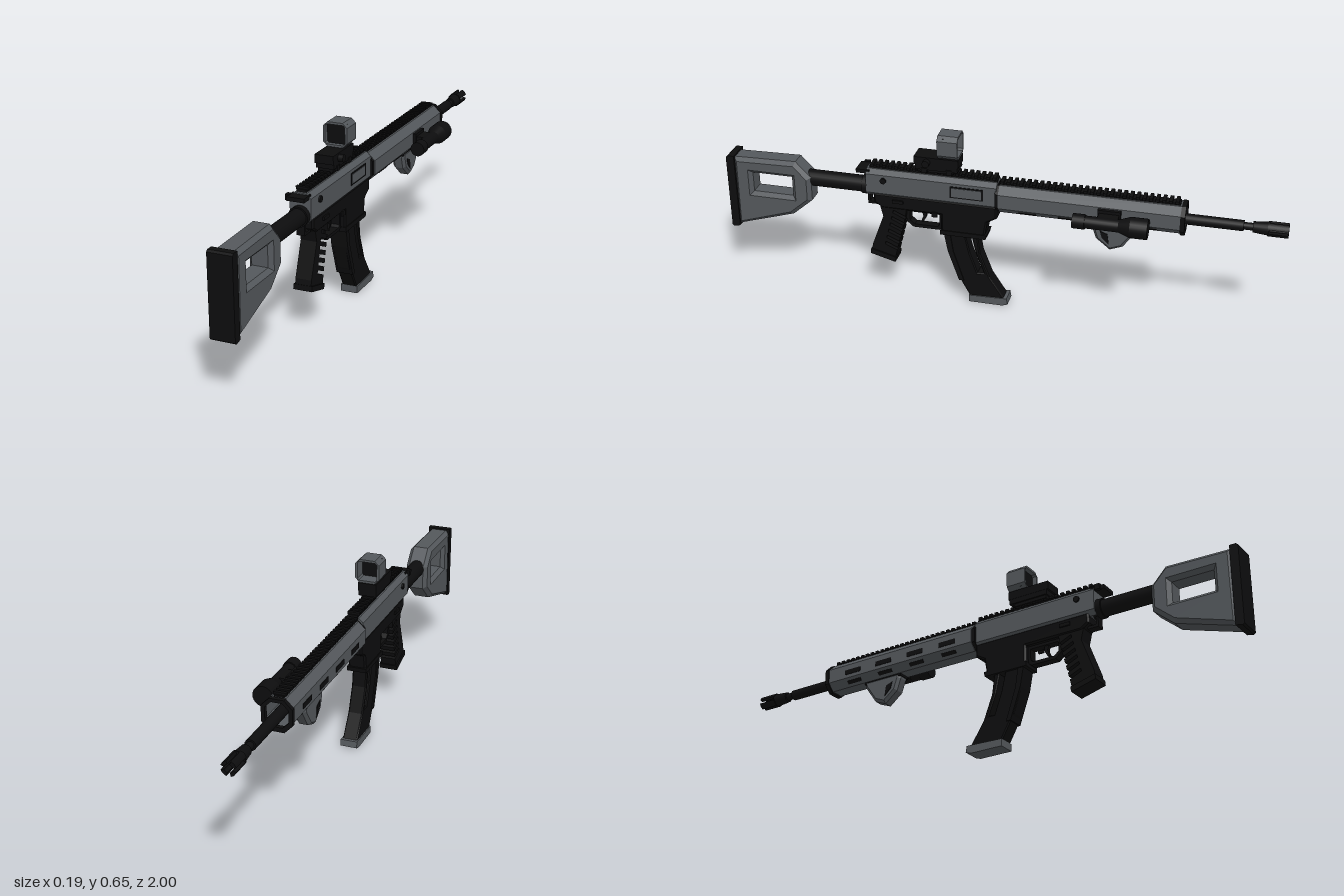
import * as THREE from 'three';

const grey = new THREE.MeshStandardMaterial({ color: 0x54585c });
grey.name = 'gunmetal grey';
const black = new THREE.MeshStandardMaterial({ color: 0x0d0d0e });
black.name = 'matte black';

const shapeOf = pts => new THREE.Shape(pts.map(p => new THREE.Vector2(p[0], p[1])));

// octagonal outline centred on (0, cy)
function octagon(hw, hh, c, cy = 0) {
  return [[hw, hh - c], [hw - c, hh], [c - hw, hh], [-hw, hh - c], [-hw, c - hh], [c - hw, -hh], [hw - c, -hh], [hw, c - hh]]
    .map(([x, y]) => [x, y + cy]);
}

export function createModel() {
  const model = new THREE.Group();
  const gun = new THREE.Group();
  gun.name = 'rifle';
  gun.position.x = -0.042;
  model.add(gun);

  function add(name, geometry, material, x = 0, y = 0, z = 0) {
    const m = new THREE.Mesh(geometry, material);
    m.name = name;
    m.position.set(x, y, z);
    gun.add(m);
    return m;
  }
  const box = (name, mat, w, h, d, x, y, z) => add(name, new THREE.BoxGeometry(w, h, d), mat, x, y, z);

  // side outline in (z, y), extruded to a width across x
  function side(name, mat, pts, width, bevel = 0, holes = []) {
    const s = shapeOf(pts);
    holes.forEach(h => s.holes.push(shapeOf(h)));
    const depth = width - 2 * bevel;
    const g = new THREE.ExtrudeGeometry(s, {
      depth, bevelEnabled: bevel > 0, bevelSize: bevel, bevelThickness: bevel, bevelOffset: -bevel, bevelSegments: 1,
    });
    g.translate(0, 0, -depth / 2).rotateY(-Math.PI / 2);
    return add(name, g, mat);
  }
  // cross-section in (x, y), extruded from z0 to z1
  function along(name, mat, pts, z0, z1, hole) {
    const s = shapeOf(pts);
    if (hole) s.holes.push(shapeOf(hole));
    return add(name, new THREE.ExtrudeGeometry(s, { depth: z1 - z0, bevelEnabled: false }), mat, 0, 0, z0);
  }
  // round part along z; r0 is the radius at z0
  function round(name, mat, r0, r1, z0, z1, x, y, n = 20) {
    const g = new THREE.CylinderGeometry(r1, r0, z1 - z0, n).rotateX(Math.PI / 2);
    return add(name, g, mat, x, y, (z0 + z1) / 2);
  }

  // shoulder stock with window, butt pad and tube
  side('stock', grey, [[0.975, 0.482], [0.74, 0.488], [0.685, 0.43], [0.685, 0.34], [0.76, 0.275], [0.975, 0.208]],
    0.084, 0.014, [[[0.907, 0.35], [0.757, 0.35], [0.757, 0.425], [0.907, 0.425]]]);
  side('buttPad', black, [[1, 0.205], [1, 0.482], [0.993, 0.488], [0.97, 0.488], [0.97, 0.205], [0.993, 0.2]], 0.086);
  round('bufferTube', black, 0.03, 0.03, 0.46, 0.7, 0, 0.418);
  round('tubeCollar', black, 0.035, 0.035, 0.46, 0.495, 0, 0.418);

  // upper receiver
  along('upperReceiver', grey, octagon(0.038, 0.052, 0.016, 0.442), 0.0, 0.475);
  box('ejectionPortFrame', black, 0.004, 0.044, 0.12, 0.038, 0.445, 0.107);
  box('ejectionPortCover', grey, 0.004, 0.034, 0.108, 0.04, 0.445, 0.107);
  [-1, 1].forEach(s => round('receiverPin', black, 0.011, 0.011, -0.004, 0.004, s * 0.04, 0.458).rotation.set(0, Math.PI / 2, 0));
  gun.children.slice(-2).forEach(p => { p.position.z = 0.41; });
  box('chargingHandle', black, 0.064, 0.014, 0.05, 0, 0.483, 0.487);
  box('chargingLatch', black, 0.014, 0.02, 0.02, -0.035, 0.483, 0.49);

  // lower receiver and magazine well
  side('lowerReceiver', black, [[0.45, 0.402], [0.0, 0.402], [0.0, 0.355], [0.035, 0.335], [0.045, 0.275],
    [0.203, 0.275], [0.203, 0.345], [0.42, 0.345], [0.45, 0.365]], 0.066, 0.006);
  box('slingLoop', black, 0.03, 0.01, 0.04, 0, 0.354, 0.455);
  box('slingLoopBack', black, 0.03, 0.05, 0.008, 0, 0.374, 0.473);
  side('magazineWellLip', black, [[0.206, 0.268], [0.04, 0.268], [0.036, 0.285], [0.206, 0.285]], 0.072);
  side('triggerGuard', black, [[0.2, 0.35], [0.2, 0.285], [0.215, 0.274], [0.31, 0.274], [0.335, 0.295], [0.335, 0.35]], 0.03, 0,
    [[[0.213, 0.335], [0.213, 0.295], [0.22, 0.286], [0.305, 0.286], [0.322, 0.3], [0.322, 0.335]]]);
  side('trigger', black, [[0.282, 0.345], [0.262, 0.345], [0.264, 0.315], [0.276, 0.294], [0.283, 0.298], [0.275, 0.318]], 0.014);
  [-1, 1].forEach(s => box('selectorLever', black, 0.008, 0.012, 0.04, s * 0.035, 0.378, 0.36));
  box('magazineRelease', black, 0.008, 0.018, 0.02, 0.035, 0.345, 0.225);

  // pistol grip with slits cut into its front edge
  const gripPts = [[0.43, 0.36], [0.33, 0.36]];
  const front = t => [0.327 + 0.055 * t, 0.35 - 0.22 * t];
  for (let i = 0; i < 6; i++) {
    const a = front(0.14 + i * 0.12), b = front(0.19 + i * 0.12);
    gripPts.push(a, [a[0] + 0.045, a[1] + 0.02], [b[0] + 0.045, b[1] + 0.02], b);
  }
  gripPts.push([0.382, 0.13], [0.468, 0.155], [0.462, 0.19], [0.418, 0.31]);
  side('grip', black, gripPts, 0.058);
  side('gripBase', black, [[0.378, 0.128], [0.47, 0.153], [0.468, 0.172], [0.374, 0.147]], 0.068);

  // curved magazine with a window and a base plate
  side('magazine', black, [[0.195, 0.3], [0.18, 0.2], [0.15, 0.11], [0.1, 0.02], [-0.03, 0.02], [0.028, 0.11], [0.062, 0.2], [0.075, 0.3]],
    0.054, 0.004, [[[0.116, 0.268], [0.093, 0.268], [0.078, 0.2], [0.048, 0.122], [0.072, 0.122], [0.1, 0.2]]]);
  side('magazineRib', black, [[0.195, 0.28], [0.18, 0.2], [0.14, 0.085], [0.122, 0.085], [0.16, 0.2], [0.172, 0.28]], 0.062);
  side('magazineBase', grey, [[0.104, 0.0], [0.104, 0.026], [-0.036, 0.03], [-0.04, 0.007], [-0.02, 0]], 0.062);

  // hollow handguard, slots and end rings
  const guard = octagon(0.05, 0.052, 0.026, 0.434);
  along('handguard', grey, guard, -0.645, -0.008, octagon(0.042, 0.044, 0.022, 0.434));
  along('handguardFrontRing', black, octagon(0.053, 0.056, 0.028, 0.432), -0.656, -0.64, octagon(0.04, 0.042, 0.021, 0.434));
  along('handguardRearRing', black, octagon(0.046, 0.05, 0.024, 0.434), -0.012, 0.004);
  for (let i = 0; i < 4; i++) {
    const z = -0.11 - i * 0.14;
    box('handguardSlot', black, 0.004, 0.018, 0.07, -0.05, 0.43, z);
    [-1, 1].forEach(s => {
      box('lowerSlot', black, 0.014, 0.004, 0.06, s * 0.037, 0.395, z).rotation.z = s * Math.PI / 4;
    });
  }

  // toothed top rails
  function rail(z0, z1, y, step) {
    box('railBase', black, 0.034, 0.012, z1 - z0, 0, y, (z0 + z1) / 2);
    for (let z = z0 + step / 2; z < z1; z += step) box('railTooth', black, 0.044, 0.01, step * 0.55, 0, y + 0.009, z);
  }
  rail(0.0, 0.465, 0.497, 0.0222);
  rail(-0.635, -0.005, 0.486, 0.0225);

  // barrel and pronged muzzle
  const by = 0.428;
  round('barrel', black, 0.019, 0.02, -0.85, 0.0, 0, by);
  round('barrelTip', black, 0.013, 0.013, -0.9, -0.84, 0, by);
  round('muzzleBody', black, 0.024, 0.019, -0.935, -0.88, 0, by);
  for (let i = 0; i < 4; i++) {
    const s = new THREE.Shape(), a = i * Math.PI / 2 + 0.28, b = a + Math.PI / 2 - 0.56;
    s.absarc(0, 0, 0.026, a, b, false);
    s.absarc(0, 0, 0.014, b, a, true);
    add('muzzleProng', new THREE.ExtrudeGeometry(s, { depth: 0.07, bevelEnabled: false, curveSegments: 5 }), black, 0, by, -1);
  }

  // reflex sight on its mount
  box('sightClamp', black, 0.054, 0.016, 0.13, 0, 0.515, 0.22);
  box('sightMount', black, 0.066, 0.02, 0.15, 0, 0.528, 0.215);
  box('sightBody', black, 0.068, 0.03, 0.16, 0, 0.551, 0.217);
  [0.17, 0.26].forEach(z => box('clampNut', black, 0.014, 0.018, 0.02, 0.03, 0.517, z));
  const knob = add('sightKnob', new THREE.CylinderGeometry(0.013, 0.013, 0.02, 16), black, 0.042, 0.548, 0.25);
  knob.rotation.z = Math.PI / 2;
  along('sightHood', grey, octagon(0.044, 0.043, 0.016, 0.611), 0.137, 0.21, octagon(0.036, 0.035, 0.006, 0.611));
  box('sightLens', black, 0.073, 0.071, 0.006, 0, 0.611, 0.19);

  // side flashlight and its clamp
  const lx = 0.099, ly = 0.425;
  round('flashlightHead', black, 0.036, 0.036, -0.54, -0.48, lx, ly, 24);
  round('flashlightTaper', black, 0.036, 0.022, -0.48, -0.44, lx, ly, 24);
  round('flashlightBody', black, 0.022, 0.022, -0.44, -0.32, lx, ly, 24);
  round('flashlightCap', black, 0.026, 0.026, -0.325, -0.282, lx, ly, 24);
  box('flashlightClamp', black, 0.05, 0.04, 0.07, 0.07, ly, -0.4);
  box('flashlightRail', black, 0.014, 0.062, 0.08, 0.056, ly, -0.4);

  // angled hand stop
  side('handStop', grey, [[-0.335, 0.385], [-0.335, 0.365], [-0.35, 0.32], [-0.4, 0.28], [-0.445, 0.298], [-0.49, 0.362], [-0.49, 0.385]], 0.05, 0.01);
  [-1, 1].forEach(s => side('handStopRecess', black, [[-0.365, 0.355], [-0.372, 0.33], [-0.398, 0.305], [-0.392, 0.345]], 0.004)
    .position.set(s * 0.025, 0, 0));
  box('handStopBase', black, 0.046, 0.012, 0.16, 0, 0.379, -0.412);

  return model;
}
